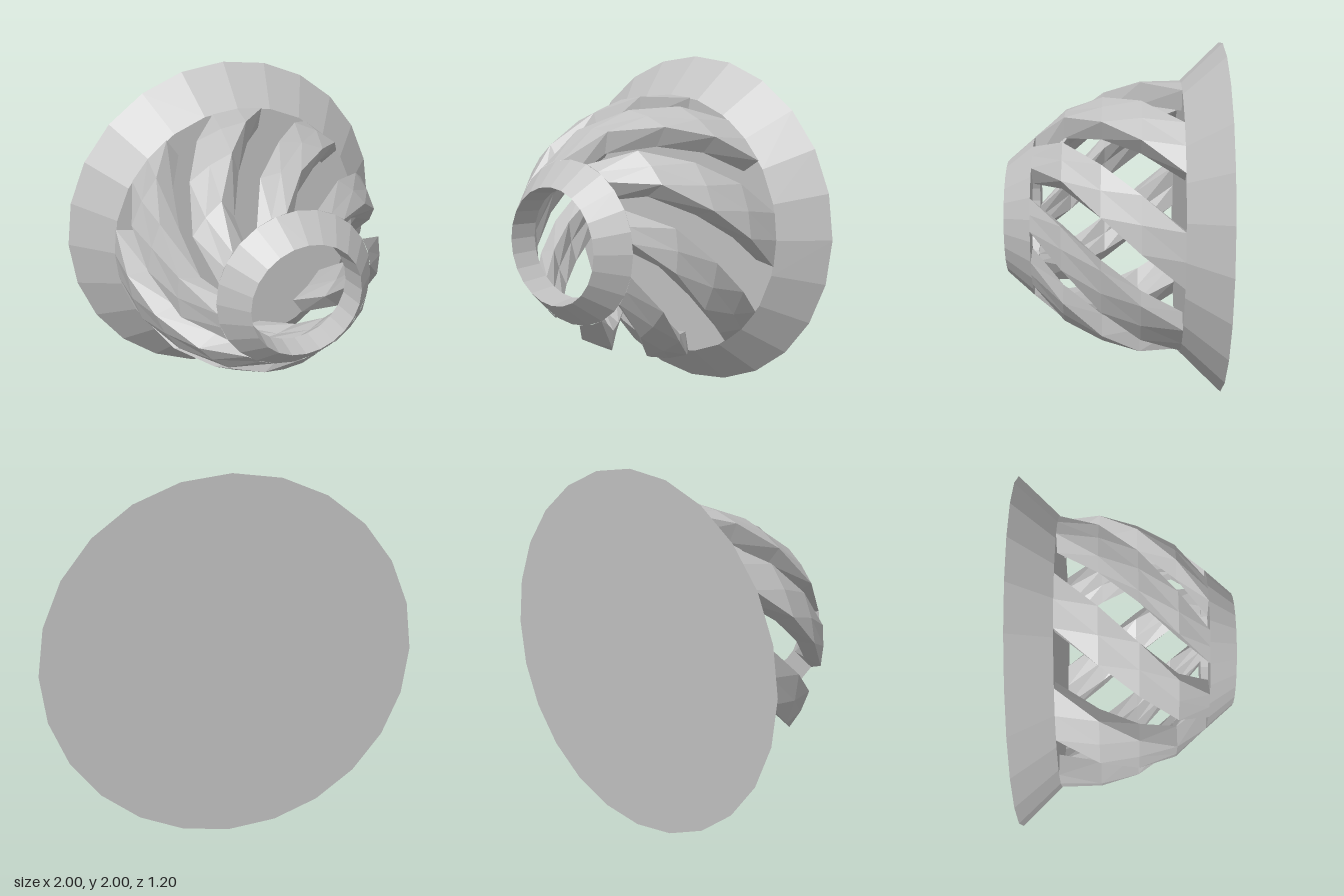
import * as THREE from 'three';

const rad = THREE.MathUtils.degToRad;

// Rib levels from back to front: [z, outer radius, inner radius, twist in degrees]
const LEVELS = [
  [-0.375, 0.78, 0.66, -63],
  [-0.15, 0.775, 0.65, -49],
  [0.06, 0.715, 0.59, -35],
  [0.27, 0.615, 0.49, -17],
  [0.445, 0.46, 0.32, 0],
];
const RIBS = 8;
const WIDTH = 22.5;

// Closed cross-section of a rib, counter-clockwise seen from the front
function section([z, outer, inner, twist]) {
  const corner = (r, part) => {
    const a = rad(7 + twist + WIDTH * part);
    return [r * Math.cos(a), r * Math.sin(a), z];
  };
  return [
    corner(outer, 0), corner(outer, 0.5), corner(outer, 1),
    corner(inner, 1), corner(inner, 0.5), corner(inner, 0),
  ];
}

// Twisted rib lofted through all the levels
function ribGeometry() {
  const loops = LEVELS.map(section);
  const n = loops[0].length;
  const index = [];
  for (let i = 0; i < loops.length - 1; i++) {
    for (let j = 0; j < n; j++) {
      const k = (j + 1) % n;
      const a = i * n + j, b = i * n + k;
      const c = b + n, d = a + n;
      index.push(a, b, d, b, c, d);
    }
  }
  const geometry = new THREE.BufferGeometry();
  geometry.setAttribute('position', new THREE.Float32BufferAttribute(loops.flat(2), 3));
  geometry.setIndex(index);
  geometry.computeVertexNormals();
  return geometry;
}

// Turned part whose axis points to the front; profile is [radius, z]
function turned(profile) {
  const points = profile.map(([r, z]) => new THREE.Vector2(r, z));
  return new THREE.LatheGeometry(points, 24).rotateX(Math.PI / 2);
}

export function createModel() {
  const model = new THREE.Group();
  model.name = 'spiralShade';
  const grey = new THREE.MeshStandardMaterial({ color: 0xc0c0c0, flatShading: true });
  grey.name = 'light grey';

  const add = (name, geometry, parent) => {
    const mesh = new THREE.Mesh(geometry, grey);
    mesh.name = name;
    parent.add(mesh);
    return mesh;
  };

  const body = new THREE.Group();
  body.name = 'body';
  body.position.y = 1;
  model.add(body);

  // Flared base with a flat back
  add('flaredBase', turned([[0, -0.6], [1, -0.6], [0.78, -0.375], [0, -0.375]]), body);

  // Open collar at the front, thin at its lip
  add('frontCollar', turned([[0.305, 0.445], [0.46, 0.445], [0.325, 0.6], [0.305, 0.445]]), body);

  // Eight spiral ribs with open slots between them
  const ribs = new THREE.Group();
  ribs.name = 'ribs';
  body.add(ribs);
  const geometry = ribGeometry();
  for (let i = 0; i < RIBS; i++) {
    add('rib', geometry, ribs).rotation.z = (i / RIBS) * Math.PI * 2;
  }
  return model;
}
